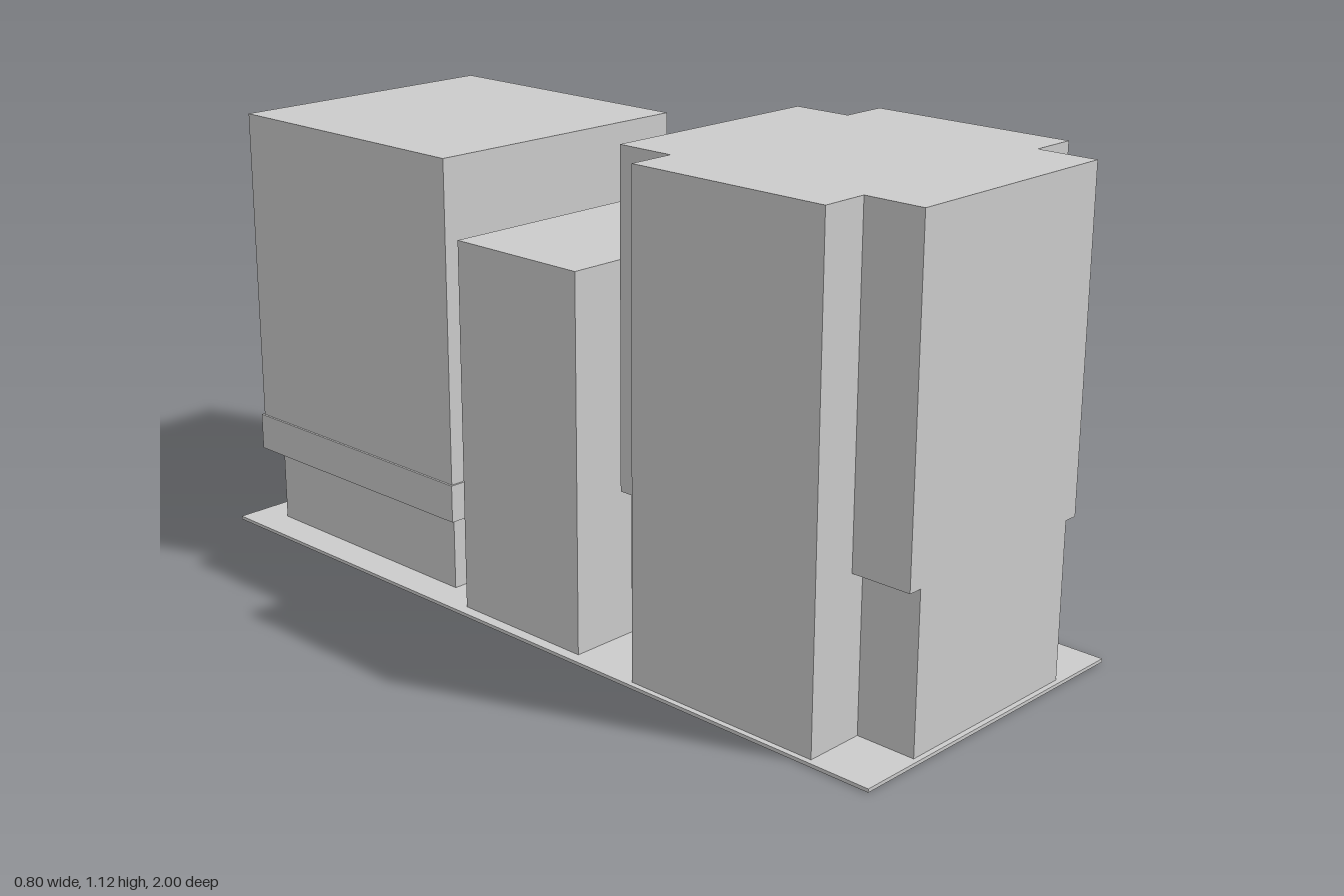
import * as THREE from 'three';

const material = new THREE.MeshStandardMaterial({ color: 0xcccccc, flatShading: true });
const BASE = 0.008;

function addMesh(parent, name, geometry) {
  const mesh = new THREE.Mesh(geometry, material);
  mesh.name = name;
  parent.add(mesh);
}

// Box given by its extents along each axis
function addBox(parent, name, [x0, x1], [y0, y1], [z0, z1]) {
  const geometry = new THREE.BoxGeometry(x1 - x0, y1 - y0, z1 - z0);
  geometry.translate((x0 + x1) / 2, (y0 + y1) / 2, (z0 + z1) / 2);
  addMesh(parent, name, geometry);
}

// Cross-shaped floor plan extruded from y0 to y1; ends have half width w
function addCross(parent, name, w, y0, y1) {
  const W = 0.387, cz = 0.602, arm = 0.245, end = 0.386;
  const half = [[w, -end], [w, -arm], [W, -arm], [W, arm], [w, arm], [w, end]];
  const plan = [...half, ...half.map(([x, z]) => [-x, -z])];
  const shape = new THREE.Shape(plan.map(([x, z]) => new THREE.Vector2(x, z)));
  const geometry = new THREE.ExtrudeGeometry(shape, { depth: y1 - y0, bevelEnabled: false });
  geometry.rotateX(-Math.PI / 2);
  geometry.translate(0, y0, cz);
  addMesh(parent, name, geometry);
}

export function createModel() {
  const model = new THREE.Group();
  model.name = 'cityBlock';
  addBox(model, 'groundPlate', [-0.4, 0.4], [0, BASE], [-1, 1]);

  // Front tower: end bays are narrower on the lower floors
  const tower = new THREE.Group();
  tower.name = 'frontTower';
  addCross(tower, 'lowerFloors', 0.244, BASE, 0.368);
  addCross(tower, 'upperFloors', 0.277, 0.368, 1.12);
  model.add(tower);

  // Middle block: L-shaped in side view with a raised corner
  const middle = new THREE.Group();
  middle.name = 'middleBlock';
  addBox(middle, 'mainBlock', [-0.373, 0.373], [BASE, 0.865], [-0.181, 0.181]);
  addBox(middle, 'raisedCorner', [0.03, 0.373], [0.865, 0.976], [0.017, 0.181]);
  model.add(middle);

  // Rear building: raised on a podium and two rows of columns
  const rear = new THREE.Group();
  rear.name = 'rearBuilding';
  addBox(rear, 'upperBlock', [-0.35, 0.35], [0.278, 1.03], [-0.949, -0.249]);
  addBox(rear, 'floorBand', [-0.355, 0.355], [0.19, 0.278], [-0.955, -0.244]);
  addBox(rear, 'podium', [-0.32, 0.16], [BASE, 0.19], [-0.918, -0.28]);
  const r = 0.013;
  for (const x of [0.32, 0.215]) {
    for (let i = 0; i < 4; i++) {
      const z = -0.293 - i * 0.203;
      addBox(rear, 'column', [x - r, x + r], [BASE, 0.19], [z - r, z + r]);
    }
  }
  model.add(rear);
  return model;
}
